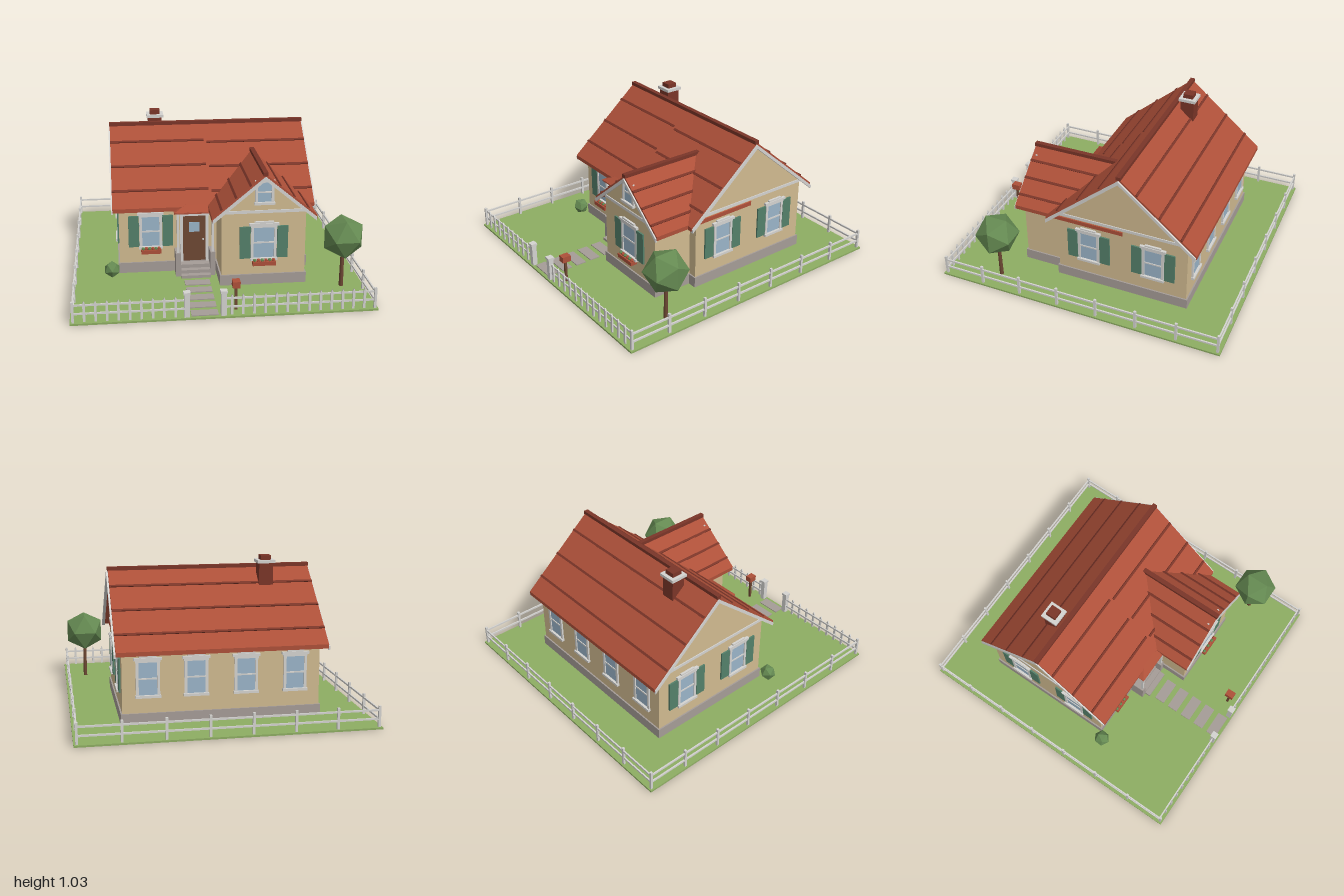
import * as THREE from 'three';

const mat = (name, color, extra = {}) => Object.assign(new THREE.MeshStandardMaterial({ color, ...extra }), { name });

export function createModel() {
  const M = {
    wall: mat('wall tan', 0xd0ba90), trim: mat('trim white', 0xd4d3d0),
    roof: mat('roof red', 0xad5039), brick: mat('brick dark red', 0x7a3528),
    stone: mat('stone grey', 0xa59c97), grass: mat('grass green', 0x8dad62),
    leaf: mat('leaf green', 0x658a52), shutter: mat('shutter green', 0x54806a),
    glass: mat('glass blue', 0x9ab4c8), wood: mat('wood brown', 0x6e4833),
  };
  M.leaf.flatShading = M.roof.flatShading = true;
  const house = new THREE.Group();
  house.name = 'cottage';

  const add = (parent, name, geo, m, x = 0, y = 0, z = 0) => {
    const o = new THREE.Mesh(geo, m);
    o.name = name;
    o.position.set(x, y, z);
    parent.add(o);
    return o;
  };
  // Box given by its extents
  const box = (p, name, m, x0, x1, y0, y1, z0, z1) =>
    add(p, name, new THREE.BoxGeometry(x1 - x0, y1 - y0, z1 - z0), m, (x0 + x1) / 2, (y0 + y1) / 2, (z0 + z1) / 2);
  const group = (name, x = 0, y = 0, z = 0, ry = 0) => {
    const g = new THREE.Group();
    g.name = name;
    g.position.set(x, y, z);
    g.rotation.y = ry;
    house.add(g);
    return g;
  };
  const extrude = (p, name, m, pts, z0, z1) =>
    add(p, name, new THREE.ExtrudeGeometry(new THREE.Shape(pts.map(q => new THREE.Vector2(...q))),
      { depth: z1 - z0, bevelEnabled: false }), m, 0, 0, z0);

  // Lawn
  box(house, 'lawn', M.grass, -0.965, 0.965, 0, 0.012, -1, 1);

  // Gabled block: local x runs across the ridge, local z along it
  function gabled(g, { half, over, top, slope, w0, w1, r0, r1, courses, ends }) {
    const t = 0.028, at = x => top - slope * x;
    box(g, 'foundation', M.stone, -half - 0.01, half + 0.01, 0.01, 0.085, w0 - 0.01, w1 + 0.01);
    extrude(g, 'walls', M.wall, [[-half, 0.08], [half, 0.08], [half, at(half) - 0.02], [0, top - 0.02],
      [-half, at(half) - 0.02]], w0, w1);
    const chevron = (d, up, th) => [[-d, at(d) + up - th], [0, top + up - th], [d, at(d) + up - th],
      [d, at(d) + up], [0, top + up], [-d, at(d) + up]];
    extrude(g, 'roof', M.roof, chevron(over, 0, t), r0, r1);
    box(g, 'ridgeCap', M.brick, -0.016, 0.016, top - 0.012, top + 0.012, r0 - 0.005, r1 + 0.005);
    for (const s of [-1, 1]) {
      for (const [d, z0, z1] of courses(s)) {
        const c = box(g, 'roofCourse', M.brick, -0.008, 0.008, -0.005, 0.005, z0, z1);
        c.position.x = s * d;
        c.position.y = at(d) + 0.002;
        c.rotation.z = -s * Math.atan(slope);
      }
    }
    for (const e of ends) {
      const w = e > 0 ? w1 : w0, r = e > 0 ? r1 : r0;
      box(g, 'gableBand', M.trim, -half, half, 0.515, 0.535, w - 0.006, w + 0.006);
      extrude(g, 'rakeBoard', M.trim, chevron(over - 0.004, -0.016, 0.026), r - 0.008 + e * 0.004, r + 0.008 + e * 0.001);
    }
  }
  gabled(group('mainHouse', 0, 0, -0.2, -Math.PI / 2), {
    half: 0.46, over: 0.53, top: 0.95, slope: 0.85, w0: -0.645, w1: 0.645, r0: -0.685, r1: 0.685, ends: [-1, 1],
    courses: s => [0.12, 0.275, 0.425].flatMap(d => s < 0 ? [[d, -0.685, 0.685]]
      : [[d, 0.03, 0.685], [d + 0.014, -0.685, 0.01]]),
  });
  gabled(group('frontWing', 0.303), {
    half: 0.28, over: 0.347, top: 0.79, slope: 0.83, w0: 0.1, w1: 0.54, r0: -0.21, r1: 0.575, ends: [1],
    courses: () => [0.095, 0.19, 0.285].map(d => [d, -0.05 + d, 0.575]),
  });

  // Window with casing, and optional shutters and flower box; local z points out of the wall
  function makeWindow(x, z, ry, { w = 0.068, y0 = 0.2, y1 = 0.42, shutters = true, flowers = false, hood = true } = {}) {
    const g = group('window', x, 0, z, ry);
    box(g, 'pane', M.glass, -w, w, y0, y1, -0.002, 0.005);
    for (const s of [-1, 1]) {
      box(g, 'casing', M.trim, s * w - 0.009, s * w + 0.009, y0, y1, 0, 0.012);
      if (!shutters) continue;
      const c = s * (w + 0.048);
      box(g, 'shutter', M.shutter, c - 0.036, c + 0.036, y0, y1 + 0.003, 0, 0.011);
    }
    const mid = (y0 + y1) / 2;
    box(g, 'meetingRail', M.trim, -w, w, mid - 0.005, mid + 0.005, 0, 0.01);
    box(g, 'sill', M.trim, -w - 0.014, w + 0.014, y0 - 0.014, y0 + 0.003, 0, 0.022);
    box(g, 'header', M.trim, -w - 0.012, w + 0.012, y1 - 0.004, y1 + 0.012, 0, 0.014);
    if (hood) {
      box(g, 'header', M.trim, -w - 0.022, w + 0.022, y1 + 0.01, y1 + 0.027, 0, 0.02);
      box(g, 'headerCap', M.trim, -w + 0.012, w - 0.012, y1 + 0.027, y1 + 0.038, 0, 0.015);
    }
    if (!flowers) return;
    box(g, 'flowerBox', M.roof, -w, w, y0 - 0.04, y0 - 0.013, 0, 0.05);
    for (let i = 0; i < 6; i++) {
      const fx = -w + 0.014 + i * (2 * w - 0.028) / 5;
      add(g, 'flower', new THREE.IcosahedronGeometry(0.013, 0), i % 2 ? M.roof : M.leaf, fx, y0 - 0.006, 0.032);
    }
  }
  makeWindow(-0.43, 0.26, 0, { flowers: true });
  makeWindow(0.303, 0.54, 0, { w: 0.077, flowers: true });
  makeWindow(0.303, 0.54, 0, { w: 0.054, y0: 0.59, y1: 0.73, shutters: false, hood: false });
  for (const z of [0.035, -0.425]) {
    makeWindow(0.645, z, Math.PI / 2);
    makeWindow(-0.645, z, -Math.PI / 2);
  }
  for (const x of [0.48, 0.17, -0.155, -0.48]) makeWindow(x, -0.66, Math.PI, { shutters: false });

  // Chimney
  const ch = group('chimney', -0.362, 0, -0.29);
  box(ch, 'stack', M.brick, -0.048, 0.048, 0.7, 0.98, -0.048, 0.048);
  box(ch, 'cap', M.trim, -0.06, 0.06, 0.98, 1.0, -0.06, 0.06);
  box(ch, 'flue', M.brick, -0.035, 0.035, 1.0, 1.03, -0.035, 0.035);

  // Entrance: door, hipped hood, posts and steps
  const en = group('entrance', -0.132, 0, 0.26);
  box(en, 'door', M.wood, -0.078, 0.078, 0.08, 0.415, 0, 0.01);
  box(en, 'doorPane', M.glass, -0.037, 0.037, 0.297, 0.367, 0.009, 0.014);
  add(en, 'doorKnob', new THREE.SphereGeometry(0.007, 8, 6), M.trim, 0.06, 0.24, 0.014);
  box(en, 'doorHeader', M.trim, -0.1, 0.1, 0.415, 0.455, 0, 0.02);
  const hood = add(en, 'hoodRoof', new THREE.ConeGeometry(Math.SQRT1_2, 1, 4).rotateY(Math.PI / 4), M.roof, 0, 0.507, 0.01);
  hood.scale.set(0.29, 0.07, 0.21);
  box(en, 'hoodEdge', M.roof, -0.143, 0.143, 0.463, 0.474, 0, 0.113);
  for (const s of [-1, 1]) {
    const c = s * 0.118;
    box(en, 'doorCasing', M.trim, s * 0.088 - 0.01, s * 0.088 + 0.01, 0.08, 0.43, 0, 0.016);
    box(en, 'stepWall', M.stone, c - 0.018, c + 0.018, 0.01, 0.18, 0, 0.11);
    box(en, 'hoodPost', M.trim, c - 0.008, c + 0.008, 0.18, 0.463, 0.085, 0.101);
  }
  [[0.08, 0.07], [0.055, 0.11], [0.032, 0.15]].forEach(([h, d]) => box(en, 'step', M.stone, -0.1, 0.1, 0.01, h, 0, d));

  // Garden path
  for (let i = 0; i < 5; i++) box(house, 'pathStone', M.stone, -0.217, -0.047, 0.01, 0.018, 0.45 + i * 0.113, 0.525 + i * 0.113);

  // Fence
  const fence = group('fence');
  const post = (x, z, h = 0.15, r = 0.008) => box(fence, 'fencePost', M.trim, x - r, x + r, 0.01, h, z - r, z + r);
  const X = 0.945, Z = 0.98;
  for (const y of [0.065, 0.122]) {
    const a = y - 0.006, b = y + 0.006;
    box(fence, 'backRail', M.trim, -X, X, a, b, -Z - 0.005, -Z + 0.005);
    for (const s of [-X, X]) box(fence, 'sideRail', M.trim, s - 0.005, s + 0.005, a, b, -Z, Z);
    box(fence, 'frontRail', M.trim, -X, -0.245, a, b, Z - 0.012, Z - 0.004);
    box(fence, 'frontRail', M.trim, -0.015, X, a, b, Z - 0.012, Z - 0.004);
  }
  for (let i = 0; i < 8; i++) {
    const k = i / 7 * 2 - 1;
    post(X * k, -Z);
    post(-X, Z * k);
    post(X, Z * k);
  }
  const w = 0.008;
  for (let x = -X; x < X + 0.01; x += 0.07) {
    if (x > -0.28 && x < 0.02) continue;
    extrude(fence, 'picket', M.trim, [[x - w, 0.015], [x + w, 0.015], [x + w, 0.135], [x, 0.152], [x - w, 0.135]], Z - 0.004, Z + 0.006);
  }
  for (const x of [-0.245, -0.016]) {
    post(x, 0.973, 0.165, 0.017);
    box(fence, 'gatePostCap', M.trim, x - 0.022, x + 0.022, 0.165, 0.18, 0.951, 0.995);
  }

  // Mailbox
  box(house, 'mailboxPost', M.wood, 0.062, 0.078, 0.01, 0.17, 0.897, 0.913);
  box(house, 'mailbox', M.roof, 0.046, 0.094, 0.168, 0.21, 0.875, 0.935);

  // Tree and bush
  add(house, 'treeTrunk', new THREE.CylinderGeometry(0.012, 0.015, 0.3, 6), M.wood, 0.815, 0.16, 0.63);
  add(house, 'treeCrown', new THREE.IcosahedronGeometry(0.148, 0).rotateZ(Math.PI / 2), M.leaf, 0.815, 0.363, 0.63);
  add(house, 'bush', new THREE.IcosahedronGeometry(0.057, 0).rotateX(0.5), M.leaf, -0.7, 0.058, 0.305);

  return house;
}
